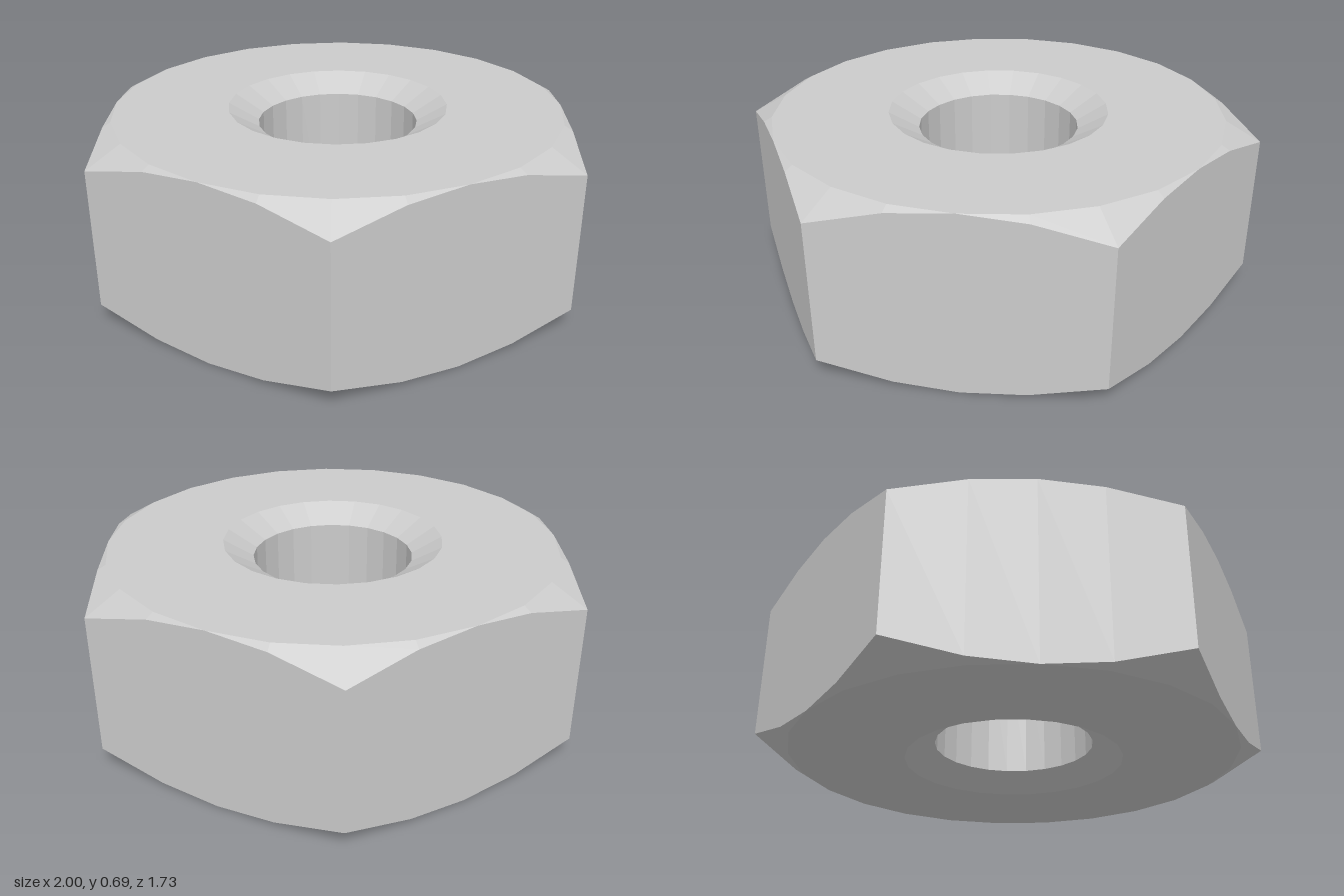
import * as THREE from 'three';

const HEIGHT = 0.693;
const FLAT = Math.sqrt(3) / 2; // distance from the axis to each flat
const SLOPE = Math.tan(Math.PI / 6); // 30 degree chamfers
const BORE = 0.31;
const BORE_RIM = 0.425;
const SEGMENTS = 24;

export function createModel() {
  const group = new THREE.Group();
  group.name = 'hexNut';

  // Closed section: hex wall, top face, bore, bottom face
  const sink = (BORE_RIM - BORE) * SLOPE;
  const profile = [
    [FLAT, 0], [1, 0], [1, HEIGHT], [FLAT, HEIGHT],
    [BORE_RIM, HEIGHT], [BORE, HEIGHT - sink],
    [BORE, sink], [BORE_RIM, 0], [FLAT, 0],
  ].map(([r, y]) => new THREE.Vector2(r, y));
  const lathe = new THREE.LatheGeometry(profile, SEGMENTS);

  // Pull the outer wall onto a hexagon and bevel its corners by a 30 degree cone
  const pos = lathe.attributes.position;
  const side = Math.PI / 3;
  for (let i = 0; i < pos.count; i++) {
    const x = pos.getX(i), y = pos.getY(i), z = pos.getZ(i);
    if (Math.hypot(x, z) < 0.95) continue;
    const angle = Math.atan2(x, z);
    const r = FLAT / Math.cos(angle - Math.round(angle / side) * side);
    const drop = (r - FLAT) * SLOPE;
    pos.setXYZ(i, Math.sin(angle) * r, y > HEIGHT / 2 ? HEIGHT - drop : drop, Math.cos(angle) * r);
  }

  // Separate the facets for crisp flat shading
  const geometry = lathe.toNonIndexed();
  geometry.computeVertexNormals();
  const nut = new THREE.Mesh(
    geometry,
    new THREE.MeshStandardMaterial({ color: 0xcccccc, flatShading: true })
  );
  nut.name = 'nutBody';
  group.add(nut);
  return group;
}
